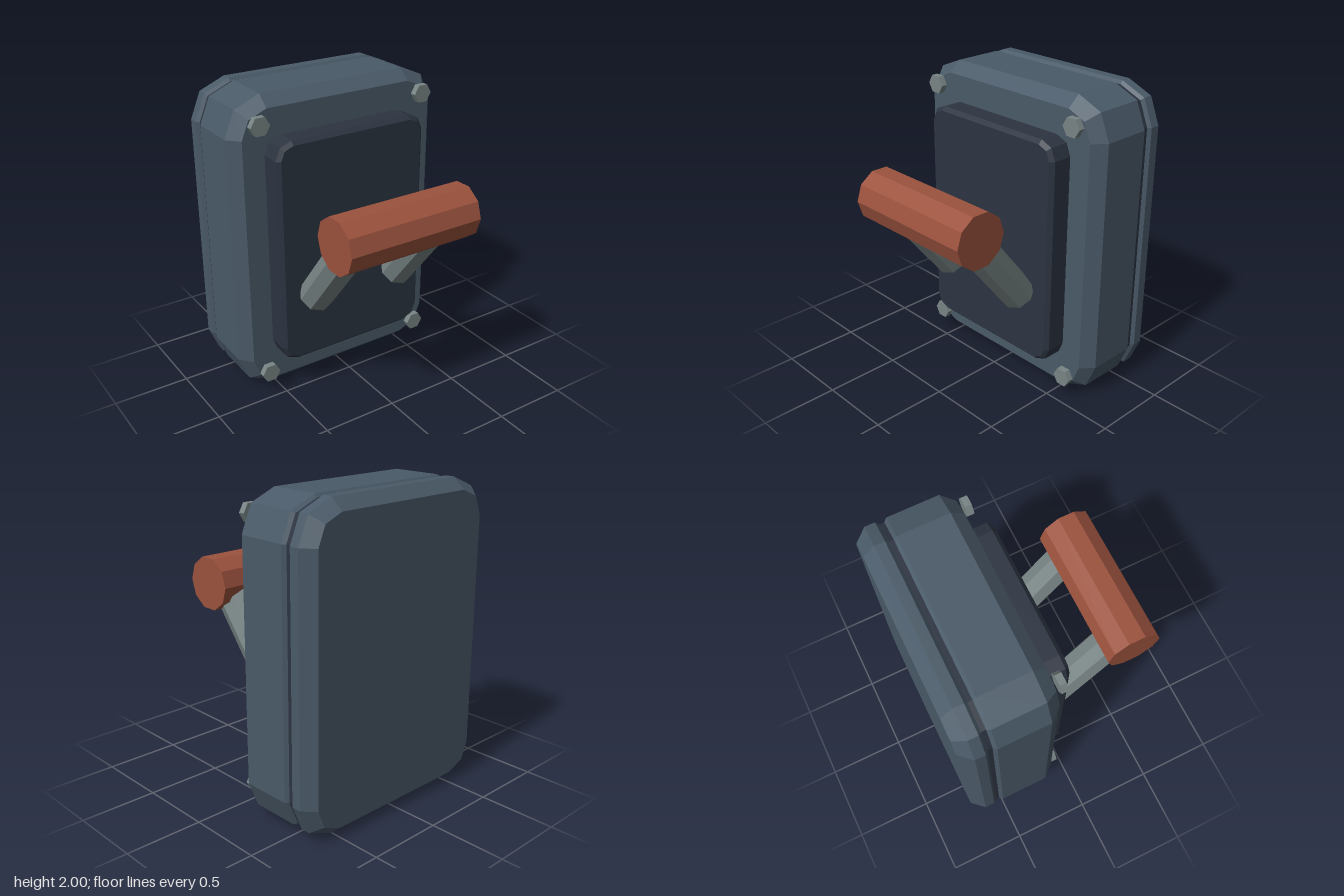
import * as THREE from 'three';

const mat = (name, color) => {
  const m = new THREE.MeshStandardMaterial({ color, flatShading: true });
  m.name = name;
  return m;
};

// Outline of a rectangle with two-segment rounded corners, counterclockwise from the front
function outline(w, h, r) {
  const pts = [];
  const signs = [[1, 1], [-1, 1], [-1, -1], [1, -1]];
  signs.forEach(([sx, sy], q) => {
    for (let k = 0; k < 3; k++) {
      const a = (q + k / 2) * Math.PI / 2;
      pts.push([sx * (w - r) + r * Math.cos(a), sy * (h - r) + r * Math.sin(a)]);
    }
  });
  return pts;
}

// Plate lofted through [z, inset] sections from back to front, closed by flat caps
function plate(w, h, r, sections) {
  const pos = [], index = [], n = 12;
  for (const [z, inset] of sections) {
    for (const [x, y] of outline(w - inset, h - inset, r - inset)) pos.push(x, y, z);
  }
  const last = (sections.length - 1) * n;
  for (let s = 0; s < last; s += n) {
    for (let i = 0; i < n; i++) {
      const j = (i + 1) % n;
      index.push(s + i, s + j, s + n + j, s + i, s + n + j, s + n + i);
    }
  }
  for (let i = 1; i < n - 1; i++) {
    index.push(0, i + 1, i, last, last + i, last + i + 1);
  }
  const g = new THREE.BufferGeometry();
  g.setAttribute('position', new THREE.Float32BufferAttribute(pos, 3));
  g.setIndex(index);
  g.computeVertexNormals();
  return g;
}

export function createModel() {
  const model = new THREE.Group();
  model.name = 'leverBox';
  const slate = mat('slate housing', 0x4a5a68);
  const dark = mat('dark panel', 0x2c3441);
  const metal = mat('grey metal', 0x788484);
  const rust = mat('rust grip', 0x9b523d);

  const add = (name, geometry, material, x, y, z) => {
    const mesh = new THREE.Mesh(geometry, material);
    mesh.name = name;
    mesh.position.set(x, y, z);
    model.add(mesh);
    return mesh;
  };

  // Housing: deep front half, back cover and the recessed seam between them
  add('frontHousing', plate(0.75, 1, 0.24, [[-0.525, 0.02], [-0.505, 0], [-0.18, 0], [-0.1, 0.07]]), slate, 0, 1, 0);
  add('backCover', plate(0.75, 1, 0.24, [[-0.715, 0.07], [-0.637, 0], [-0.573, 0], [-0.555, 0.02]]), slate, 0, 1, 0);
  add('seam', plate(0.73, 0.98, 0.22, [[-0.57, 0.001], [-0.51, 0.001]]), dark, 0, 1, 0);

  // Raised front panel
  add('frontPanel', plate(0.535, 0.75, 0.11, [[-0.12, 0], [0.028, 0], [0.053, 0.025]]), dark, 0, 1.005, 0);

  // Hexagonal bolts at the four corners
  const bolt = new THREE.CylinderGeometry(0.064, 0.064, 0.042, 6).rotateY(Math.PI / 6).rotateX(Math.PI / 2);
  for (const x of [-0.588, 0.588]) {
    for (const y of [0.155, 1.85]) add('bolt', bolt, metal, x, y, -0.056);
  }

  // Lever: two slanted arms carrying a horizontal grip
  const base = new THREE.Vector2(0.091, 0.72); // z, y
  const top = new THREE.Vector2(0.54, 1.288);
  const arm = new THREE.CylinderGeometry(0.113, 0.113, base.distanceTo(top), 8);
  for (const x of [-0.314, 0.314]) {
    const mesh = add('leverArm', arm, metal, x, (base.y + top.y) / 2, (base.x + top.x) / 2);
    mesh.rotation.x = Math.atan2(top.x - base.x, top.y - base.y);
  }
  const grip = new THREE.CylinderGeometry(0.177, 0.177, 0.925, 10).rotateZ(Math.PI / 2);
  add('grip', grip, rust, 0, top.y, top.x);

  return model;
}
